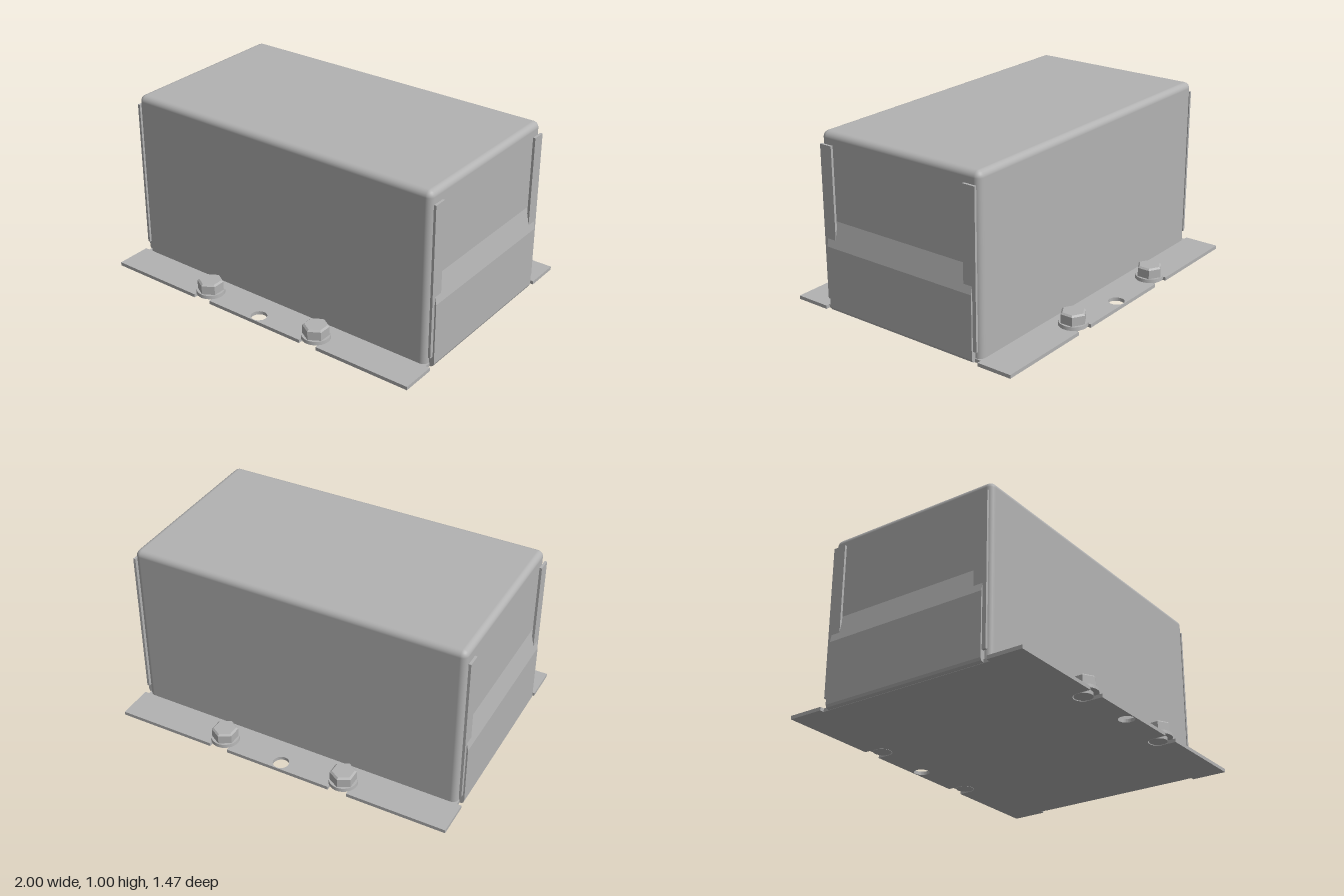
import * as THREE from 'three';

const steel = new THREE.MeshStandardMaterial({ color: 0xb2b2b2 });
steel.name = 'grey steel';

function part(parent, name, geometry, x = 0, y = 0, z = 0) {
  const mesh = new THREE.Mesh(geometry, steel);
  mesh.name = name;
  mesh.position.set(x, y, z);
  parent.add(mesh);
  return mesh;
}

// Box cover: rings of a rounded rectangle, rolled over at the top edge
function coverGeometry(hx, hz, y0, y1, r) {
  const n = 6, positions = [], normals = [], index = [];
  const ring = (phi, low) => {
    for (let c = 0; c < 4; c++) {
      const sx = c === 0 || c === 3 ? 1 : -1, sz = c < 2 ? 1 : -1;
      for (let i = 0; i <= n; i++) {
        const t = (c + i / n) * Math.PI / 2;
        const nx = Math.cos(phi) * Math.cos(t), ny = Math.sin(phi), nz = Math.cos(phi) * Math.sin(t);
        positions.push(sx * (hx - r) + r * nx, low ? y0 : y1 - r + r * ny, sz * (hz - r) + r * nz);
        normals.push(nx, ny, nz);
      }
    }
  };
  ring(0, true);
  for (let k = 0; k <= n; k++) ring(k / n * Math.PI / 2, false);
  const m = 4 * (n + 1);
  for (let k = 0; k <= n; k++) {
    for (let i = 0; i < m; i++) {
      const a = k * m + i, b = k * m + (i + 1) % m;
      index.push(a, a + m, b, b, a + m, b + m);
    }
  }
  // flat top panel between the four corner centres
  const top = (n + 1) * m, s = n + 1;
  index.push(top, top + 2 * s, top + s, top, top + 3 * s, top + 2 * s);
  const g = new THREE.BufferGeometry();
  g.setAttribute('position', new THREE.Float32BufferAttribute(positions, 3));
  g.setAttribute('normal', new THREE.Float32BufferAttribute(normals, 3));
  g.setIndex(index);
  return g;
}

// Base plate with corner reliefs, open bolt slots and round holes
function plateGeometry() {
  const edge = 0.73, slotZ = 0.655, slotR = 0.055, slotX = 0.37;
  const s = new THREE.Shape();
  s.moveTo(-1, -edge);
  for (const x of [-slotX, slotX]) {
    s.lineTo(x - slotR, -edge);
    s.lineTo(x - slotR, -slotZ);
    s.absarc(x, -slotZ, slotR, Math.PI, 0, true);
    s.lineTo(x + slotR, -edge);
  }
  s.lineTo(1, -edge);
  s.lineTo(1, -0.525);
  s.lineTo(0.975, -0.525);
  s.lineTo(0.975, 0.525);
  s.lineTo(1, 0.525);
  s.lineTo(1, edge);
  for (const x of [slotX, -slotX]) {
    s.lineTo(x + slotR, edge);
    s.lineTo(x + slotR, slotZ);
    s.absarc(x, slotZ, slotR, 0, -Math.PI, true);
    s.lineTo(x - slotR, edge);
  }
  s.lineTo(-1, edge);
  s.lineTo(-1, 0.525);
  s.lineTo(-0.975, 0.525);
  s.lineTo(-0.975, -0.525);
  s.lineTo(-1, -0.525);
  s.closePath();
  for (const z of [-0.68, 0.68]) {
    s.holes.push(new THREE.Path().absarc(0, z, 0.045, 0, Math.PI * 2, true));
  }
  const g = new THREE.ExtrudeGeometry(s, { depth: 0.02, bevelEnabled: false, curveSegments: 16 });
  return g.rotateX(Math.PI / 2).translate(0, 0.02, 0);
}

// Side wall bent up from the plate, leaning in against the cover at its top
function sideWallGeometry() {
  const s = new THREE.Shape([
    [0.955, 0.002], [0.982, 0.002], [0.994, 0.008], [1, 0.022],
    [1, 0.375], [0.97, 0.52], [0.955, 0.52],
  ].map(([x, y]) => new THREE.Vector2(x, y)));
  return new THREE.ExtrudeGeometry(s, { depth: 0.98, bevelEnabled: false }).translate(0, 0, -0.49);
}

// Hex flange bolt
function makeBolt() {
  const bolt = new THREE.Group();
  bolt.name = 'bolt';
  part(bolt, 'boltShank', new THREE.CylinderGeometry(0.05, 0.05, 0.022, 24), 0, 0.012, 0);
  part(bolt, 'boltFlange', new THREE.CylinderGeometry(0.078, 0.08, 0.02, 32), 0, 0.031, 0);
  const hex = (rTop, rBottom, h) => {
    const g = new THREE.CylinderGeometry(rTop, rBottom, h, 6).toNonIndexed();
    g.computeVertexNormals();
    return g;
  };
  part(bolt, 'boltHead', hex(0.073, 0.073, 0.051), 0, 0.0655, 0);
  part(bolt, 'boltHeadChamfer', hex(0.062, 0.073, 0.009), 0, 0.0955, 0);
  return bolt;
}

export function createModel() {
  const model = new THREE.Group();
  model.name = 'mountedEnclosure';

  part(model, 'basePlate', plateGeometry());
  part(model, 'cover', coverGeometry(0.97, 0.525, 0.01, 1.005, 0.035));

  for (const side of [1, -1]) {
    const name = side > 0 ? 'left' : 'right';
    const wall = part(model, name + 'SideWall', sideWallGeometry());
    wall.rotation.y = side > 0 ? 0 : Math.PI;
    // overlapping flaps at both ends of the side
    for (const end of [1, -1]) {
      part(model, name + (end > 0 ? 'Front' : 'Back') + 'Flap',
        new THREE.BoxGeometry(0.014, 0.875, 0.077), side * 0.984, 0.5025, end * 0.4735);
    }
  }

  for (const x of [-0.37, 0.37]) {
    for (const z of [-0.655, 0.655]) {
      const bolt = makeBolt();
      bolt.position.set(x, 0, z);
      model.add(bolt);
    }
  }
  return model;
}
